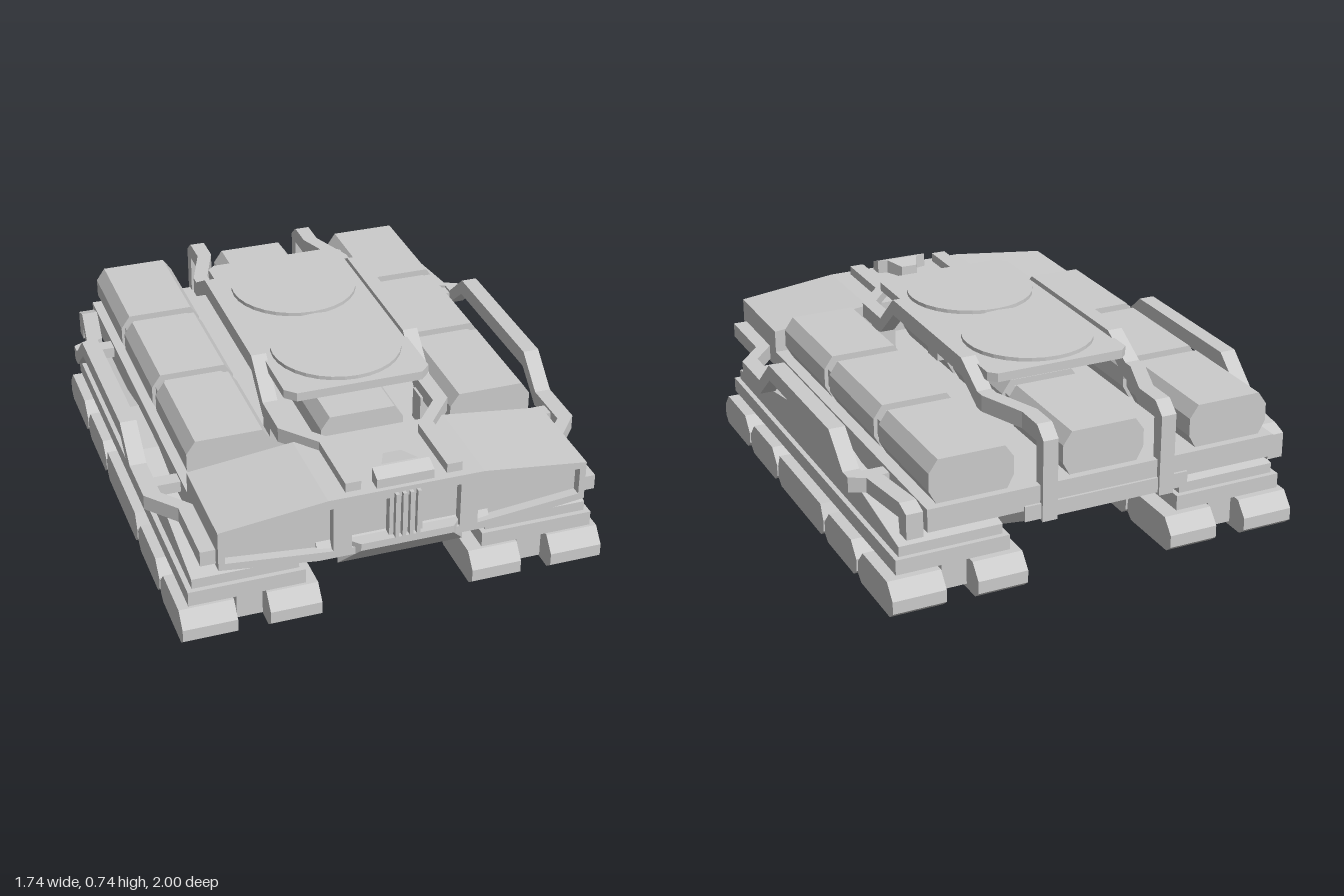
import * as THREE from 'three';

const mat = new THREE.MeshStandardMaterial({ color: 0xcccccc, flatShading: true });

// Solid through matching rings of [x, y, z], listed front to back, counter-clockwise seen from +z
function loft(rings) {
  const p = [], n = rings[0].length, last = rings[rings.length - 1];
  const tri = (a, b, c) => p.push(...a, ...b, ...c);
  for (let r = 0; r < rings.length - 1; r++) {
    for (let i = 0; i < n; i++) {
      const j = (i + 1) % n, f = rings[r], k = rings[r + 1];
      tri(f[i], k[i], k[j]);
      tri(f[i], k[j], f[j]);
    }
  }
  for (let i = 1; i < n - 1; i++) {
    tri(rings[0][0], rings[0][i], rings[0][i + 1]);
    tri(last[0], last[i + 1], last[i]);
  }
  const g = new THREE.BufferGeometry();
  g.setAttribute('position', new THREE.Float32BufferAttribute(p, 3));
  g.computeVertexNormals();
  return g;
}

// Bar of rectangular section; stations are [x, bottom, top, z]
const bar = (w, stations, s = 1) => loft(stations.map(([x, b, t, z]) => {
  const l = s * x - w / 2, r = s * x + w / 2;
  return [[l, b, z], [r, b, z], [r, t, z], [l, t, z]];
}));

// Constant section in x,y running from z0 (front) to z1 (back)
const prism = (pts, z0, z1) => loft([z0, z1].map(z => pts.map(([x, y]) => [x, y, z])));

const shapeOf = pts => new THREE.Shape(pts.map(q => new THREE.Vector2(...q)));

// Side profile in [z, y] extruded across x0..x1
function sideProfile(pts, x0, x1) {
  const g = new THREE.ExtrudeGeometry(shapeOf(pts.map(([z, y]) => [-z, y])), { depth: x1 - x0, bevelEnabled: false });
  return g.rotateY(Math.PI / 2).translate(x0, 0, 0);
}

// Box from its limits
const box = (x0, x1, y0, y1, z0, z1) => new THREE.BoxGeometry(x1 - x0, y1 - y0, z1 - z0)
  .translate((x0 + x1) / 2, (y0 + y1) / 2, (z0 + z1) / 2);

export function createModel() {
  const model = new THREE.Group();
  model.name = 'trackedHauler';
  const add = (name, geometry) => {
    const m = new THREE.Mesh(geometry, mat);
    m.name = name;
    model.add(m);
  };
  const span = (s, a, b) => (s > 0 ? [a, b] : [-b, -a]);

  // Hull and deck
  add('belly', sideProfile([[0.98, 0.315], [0.76, 0.18], [-0.76, 0.18], [-0.98, 0.3], [-0.98, 0.38], [0.94, 0.38]], -0.335, 0.335));
  add('deck', box(-0.71, 0.71, 0.34, 0.43, -0.98, 0.6));
  add('rearBeam', box(-0.335, 0.335, 0.3, 0.36, -0.99, -0.94));

  // Cab with recessed windows and centre grille
  const cab = [[-0.71, 0.36], [-0.335, 0.315], [0.335, 0.315], [0.71, 0.36], [0.71, 0.52], [0.3, 0.568], [-0.3, 0.568], [-0.71, 0.52]];
  add('cabBody', prism(cab, 0.945, 0.575));
  const front = shapeOf(cab);
  const windowHole = [[0.28, 0.345], [0.685, 0.385], [0.685, 0.495], [0.28, 0.53]];
  for (const s of [1, -1]) front.holes.push(new THREE.Path(windowHole.map(([x, y]) => new THREE.Vector2(s * x, y))));
  front.holes.push(new THREE.Path([[-0.21, 0.345], [0.21, 0.345], [0.21, 0.53], [-0.21, 0.53]].map(q => new THREE.Vector2(...q))));
  add('cabFrame', new THREE.ExtrudeGeometry(front, { depth: 0.04, bevelEnabled: false }).translate(0, 0, 0.943));
  add('grillePanel', box(-0.065, 0.065, 0.345, 0.535, 0.94, 0.978));
  for (const x of [-0.042, -0.014, 0.014, 0.042]) add('grilleBar', box(x - 0.007, x + 0.007, 0.34, 0.55, 0.95, 1.0));
  const nosePts = (w, y0, y1, z) => [[-w, y0, z], [w, y0, z], [w, y1, z], [-w, y1, z]];
  add('nosePlate', loft([nosePts(0.18, 0.335, 0.365, 1.0), nosePts(0.245, 0.25, 0.365, 0.93), nosePts(0.2, 0.225, 0.365, 0.86)]));
  add('roofLampBase', loft([nosePts(0.11, 0.56, 0.605, 0.965), nosePts(0.11, 0.56, 0.625, 0.91),
    nosePts(0.07, 0.56, 0.625, 0.9), nosePts(0.035, 0.56, 0.615, 0.82)]));

  // Cargo containers in three columns
  const section = (x, w) => [[x - w + 0.03, 0.425], [x + w - 0.03, 0.425], [x + w, 0.48], [x + w, 0.55],
    [x + w - 0.035, 0.6], [x - w + 0.035, 0.6], [x - w, 0.55], [x - w, 0.48]];
  for (const x of [-0.525, 0, 0.525]) {
    for (const [z0, z1] of [[0.505, 0.055], [0, -0.45], [-0.5, -0.95]]) add('container', prism(section(x, 0.165), z0, z1));
    add('containerCore', prism(section(x, 0.15).map(([a, b]) => [a, b === 0.6 ? 0.575 : b]), 0.49, -0.93));
  }

  // Roof platform with two round hatches
  const plate = shapeOf([[-0.29, -0.44], [-0.25, -0.48], [0.25, -0.48], [0.29, -0.44], [0.29, 0.58], [0.26, 0.61], [-0.26, 0.61], [-0.29, 0.58]]);
  add('roofPlatform', new THREE.ExtrudeGeometry(plate, { depth: 0.035, bevelEnabled: false }).rotateX(-Math.PI / 2).translate(0, 0.68, 0));
  for (const z of [0.195, -0.33]) add('roundHatch', new THREE.CylinderGeometry(0.255, 0.255, 0.02, 32).translate(0, 0.72, z));

  for (const s of [1, -1]) {
    // Roof rail, rising over the platform and hooking down at the back
    add('roofRail', bar(0.06, [
      [0.195, 0.545, 0.605, 0.95], [0.195, 0.545, 0.605, 0.66], [0.31, 0.545, 0.605, 0.52], [0.31, 0.545, 0.605, 0.33],
      [0.31, 0.67, 0.735, 0.19], [0.31, 0.67, 0.735, -0.46], [0.31, 0.59, 0.655, -0.6], [0.31, 0.59, 0.655, -0.64],
      [0.24, 0.59, 0.655, -0.83], [0.24, 0.59, 0.655, -0.945], [0.24, 0.3, 0.65, -0.955], [0.24, 0.29, 0.61, -1.0]], s));
    add('platformPost', box(...span(s, 0.19, 0.285), 0.58, 0.7, -0.12, -0.03));
    add('railBracket', box(...span(s, 0.27, 0.34), 0.42, 0.56, 0.34, 0.42));

    // Side rail, arching over the track housing
    add('sideRail', bar(0.065, [
      [0.735, 0.37, 0.43, 0.95], [0.735, 0.37, 0.43, 0.66], [0.835, 0.37, 0.43, 0.54], [0.835, 0.37, 0.43, 0.33],
      [0.835, 0.48, 0.545, 0.2], [0.835, 0.48, 0.545, -0.45], [0.835, 0.37, 0.43, -0.58], [0.835, 0.37, 0.43, -0.63],
      [0.775, 0.37, 0.43, -0.66], [0.745, 0.37, 0.43, -0.88], [0.745, 0.31, 0.43, -0.89], [0.745, 0.31, 0.41, -0.95]], s));
    for (const z of [0.45, -0.61]) add('sideRailBracket', box(...span(s, 0.69, 0.82), 0.375, 0.42, z - 0.03, z + 0.03));

    // Track housing and chassis rail
    add('trackHousing', sideProfile([[0.86, 0.2], [-0.88, 0.2], [-0.88, 0.25], [-0.17, 0.375], [0.15, 0.375], [0.86, 0.25]], ...span(s, 0.37, 0.78)));
    add('trackRail', box(...span(s, 0.35, 0.8), 0.15, 0.21, -0.9, 0.88));
    add('trackSpine', box(...span(s, 0.51, 0.61), 0.03, 0.16, -0.87, 0.85));

    // Double rows of track pods
    for (const [a, b] of [[0.3, 0.5], [0.625, 0.835]]) {
      for (const [f, r, c] of [[0.92, 0.6, 0.05], [0.585, 0.26, 0.05], [0.245, -0.265, 0.025], [-0.28, -0.605, 0.05], [-0.62, -0.95, 0.05]]) {
        add('trackPod', sideProfile([[f - 0.03, 0], [r + 0.03, 0], [r, 0.025], [r, 0.075], [r + c, 0.133], [f - c, 0.133], [f, 0.075], [f, 0.025]],
          ...span(s, a, b)));
      }
    }
  }
  return model;
}
